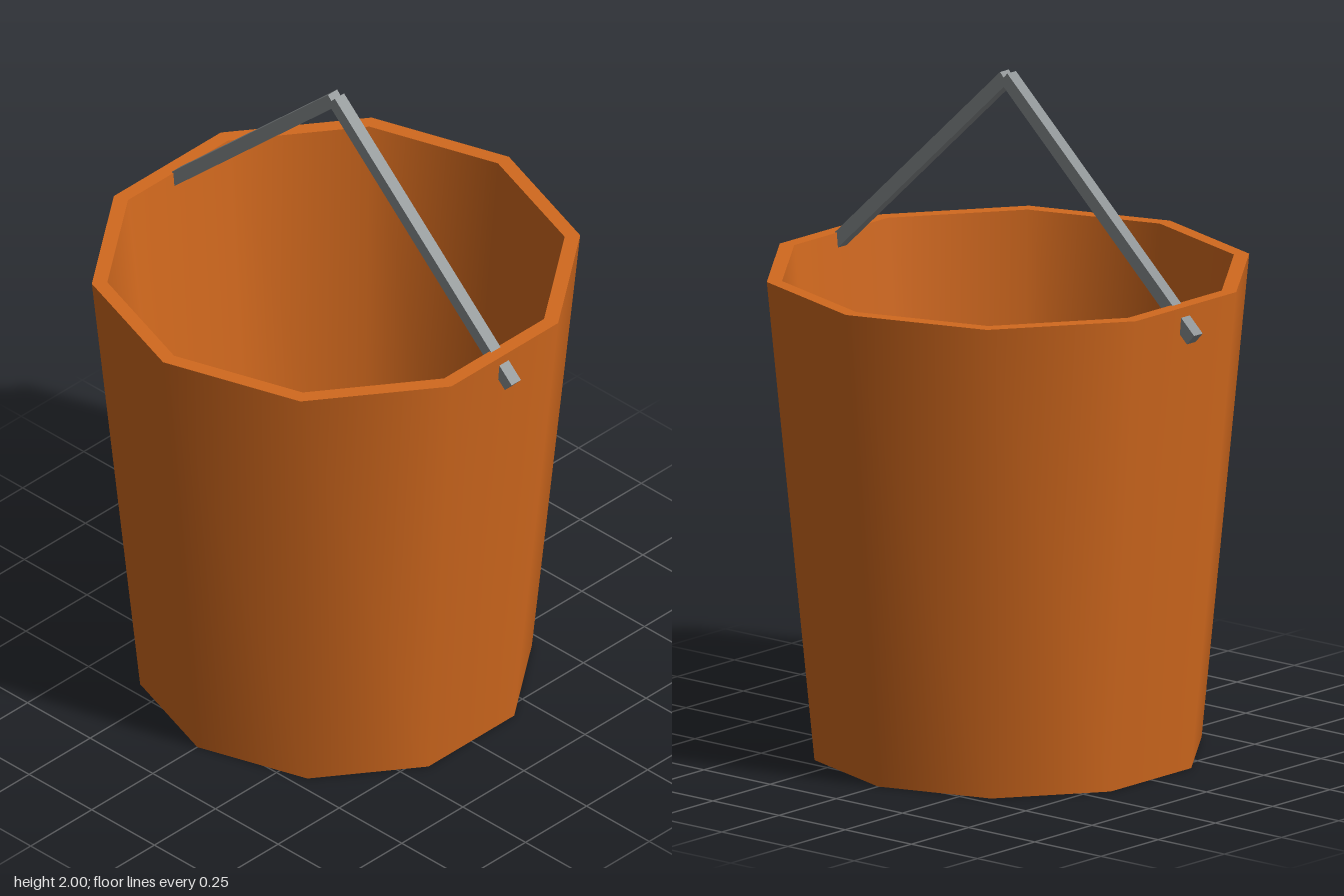
import * as THREE from 'three';

const SIDES = 10;

export function createModel() {
  const model = new THREE.Group();
  model.name = 'bucket';

  const orange = new THREE.MeshStandardMaterial({ color: 0xd2691e });
  orange.name = 'orange bucket';
  const grey = new THREE.MeshStandardMaterial({ color: 0x8c9193 });
  grey.name = 'grey metal';

  // Bucket shell: each ring is its own strip, so walls are smooth and rims stay sharp
  const profile = [[0, 0], [0.568, 0], [0.708, 1.42], [0.663, 1.42], [0.522, 0.03], [0, 0.03]];
  const names = ['base', 'outerWall', 'rim', 'innerWall', 'floor'];
  names.forEach((name, i) => {
    const points = [profile[i], profile[i + 1]].map(([r, y]) => new THREE.Vector2(r, y));
    const ring = new THREE.Mesh(new THREE.LatheGeometry(points, SIDES), orange);
    ring.name = name;
    model.add(ring);
  });

  // Handle: two straight bars meeting at the top and poking through the walls
  const handle = new THREE.Group();
  handle.name = 'handle';
  for (const side of [1, -1]) {
    const top = new THREE.Vector2(0, 1.985);
    const end = new THREE.Vector2(side * 0.706, 1.33);
    const dir = end.clone().sub(top);
    const bar = new THREE.Mesh(new THREE.BoxGeometry(dir.length(), 0.04, 0.038), grey);
    bar.position.set((top.x + end.x) / 2, (top.y + end.y) / 2, 0);
    bar.rotation.z = Math.atan2(dir.y, dir.x);
    bar.name = side > 0 ? 'leftHandleBar' : 'rightHandleBar';
    handle.add(bar);
  }
  model.add(handle);

  return model;
}
